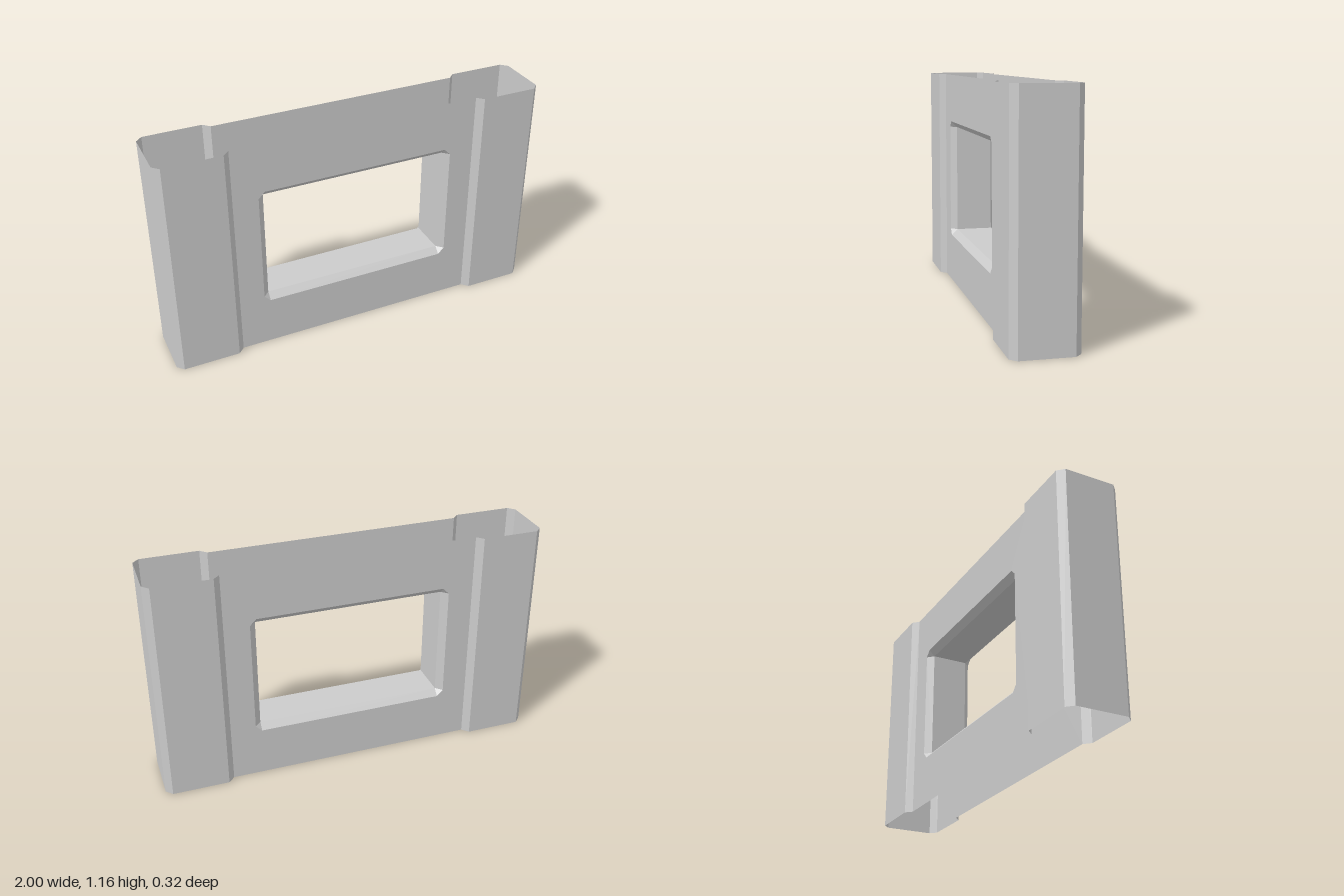
import * as THREE from 'three';

const U = 1 / 31; // design module: the half width is 31 units
const H = 36;     // wall height in units
const material = new THREE.MeshStandardMaterial({
  color: 0xcccccc, flatShading: true, side: THREE.DoubleSide,
});

// Joins successive rows of [x, y, z] points with flat quads, dropping collapsed triangles
function loft(rows) {
  const positions = [];
  const same = (p, q) => p.every((v, k) => v === q[k]);
  const tri = (a, b, c) => {
    if (same(a, b) || same(b, c) || same(c, a)) return;
    positions.push(...a, ...b, ...c);
  };
  for (let i = 0; i < rows.length - 1; i++) {
    for (let j = 0; j < rows[i].length - 1; j++) {
      const a = rows[i][j], b = rows[i][j + 1];
      const c = rows[i + 1][j + 1], d = rows[i + 1][j];
      tri(a, b, c);
      tri(a, c, d);
    }
  }
  const geometry = new THREE.BufferGeometry();
  geometry.setAttribute('position', new THREE.Float32BufferAttribute(positions, 3));
  geometry.computeVertexNormals();
  return geometry;
}

function addPart(group, name, geometry, turn = 0) {
  const mesh = new THREE.Mesh(geometry, material);
  mesh.name = name;
  mesh.rotation.y = turn;
  group.add(mesh);
}

export function createModel() {
  const model = new THREE.Group();
  model.name = 'windowWall';
  const wall = new THREE.Group();
  wall.name = 'wall';
  wall.scale.setScalar(U);
  model.add(wall);

  // End pillars: open bevelled outline in plan (x, z), raised to full height
  const plan = [[20, 4], [21, 5], [30, 5], [31, 4], [31, -4], [30, -5], [21, -5], [20, -4]];
  const pillar = loft([0, H].map((y) => plan.map(([x, z]) => [x, y, z])));
  addPart(wall, 'leftPillar', pillar);
  addPart(wall, 'rightPillar', pillar, Math.PI);

  // Window outlines: clipped-corner outer edge and square inner edge, point for point
  const outer = [[-15, 8], [15, 8], [16, 9], [16, 27], [15, 28], [-15, 28], [-16, 27], [-16, 9]];
  const inner = outer.map(([x, y]) => [
    THREE.MathUtils.clamp(x, -15, 15), THREE.MathUtils.clamp(y, 9, 27),
  ]);

  // Front and back panels with the window cut out
  const shape = new THREE.Shape([[-20, 0], [20, 0], [20, H], [-20, H]].map((p) => new THREE.Vector2(...p)));
  shape.holes.push(new THREE.Path(outer.map((p) => new THREE.Vector2(...p))));
  const panel = new THREE.ShapeGeometry(shape).translate(0, 0, 4);
  addPart(wall, 'frontPanel', panel);
  addPart(wall, 'backPanel', panel, Math.PI);

  // Window reveal: chamfer, straight lining, chamfer
  const ring = (outline, z) => [...outline, outline[0]].map(([x, y]) => [x, y, z]);
  addPart(wall, 'windowReveal', loft([
    ring(outer, 4), ring(inner, 3), ring(inner, -3), ring(outer, -4),
  ]));

  return model;
}
